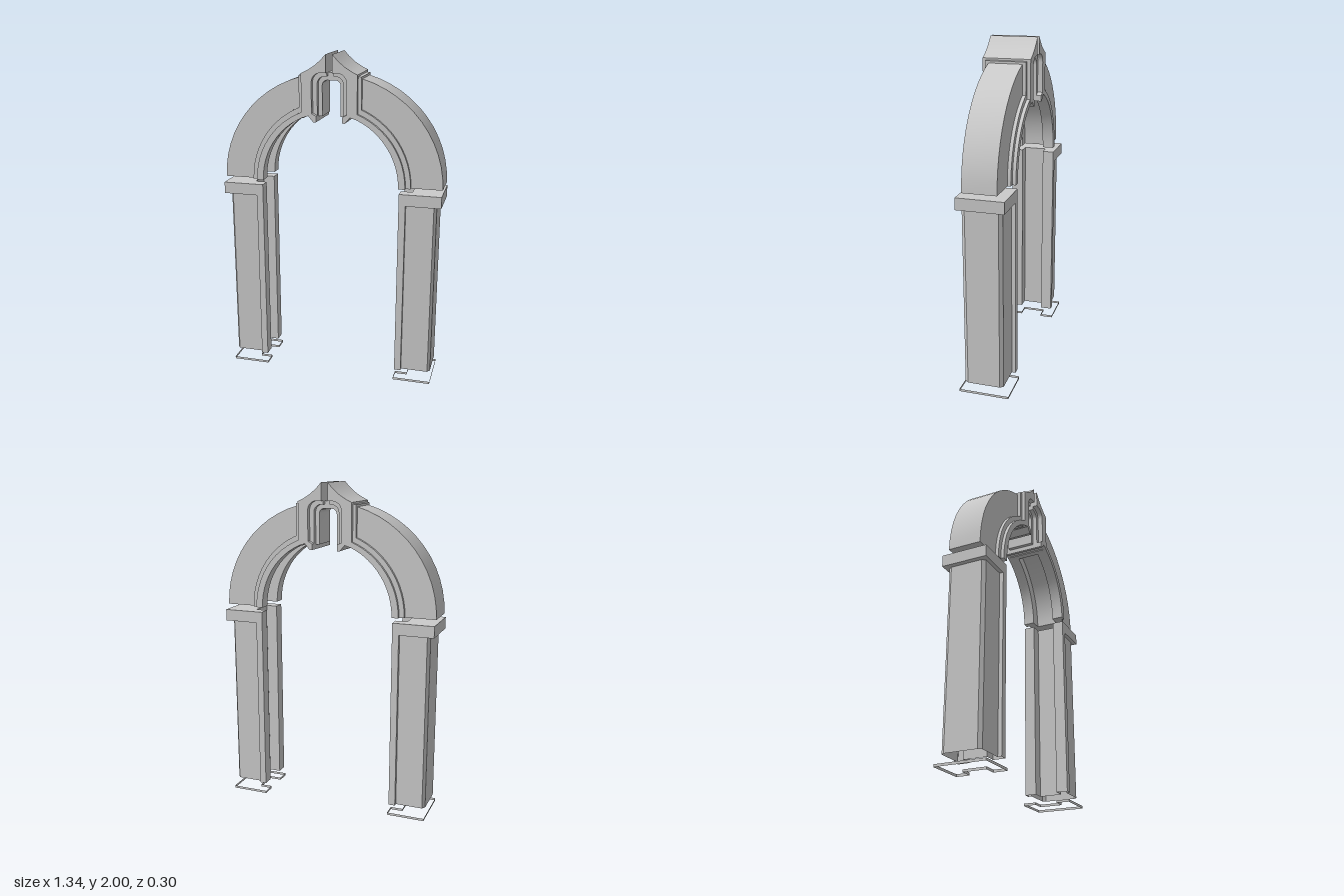
import * as THREE from 'three';
import { toCreasedNormals } from 'three/addons/utils/BufferGeometryUtils.js';

const material = new THREE.MeshStandardMaterial({ color: 0xcccccc, side: THREE.DoubleSide });
const SPRING = 1.24; // height where the arch begins

const toShape = (pts, s) => new THREE.Shape(pts.map(([x, y]) => new THREE.Vector2(x * s, y)));

function mesh(name, geometry) {
  const m = new THREE.Mesh(geometry, material);
  m.name = name;
  return m;
}

// Slab in the xy plane, reaching from z0 to z1; s = -1 mirrors it in x
function slab(name, pts, z0, z1, s) {
  const g = new THREE.ExtrudeGeometry(toShape(pts, s), { depth: z1 - z0, bevelEnabled: false });
  g.translate(0, 0, z0);
  return mesh(name, toCreasedNormals(g, 0.45));
}

// Solid with an xz footprint, reaching from y0 to y1
function upright(name, pts, y0, y1, s) {
  const g = new THREE.ExtrudeGeometry(toShape(pts, s), { depth: y1 - y0, bevelEnabled: false });
  g.rotateX(-Math.PI / 2).translate(0, y0, 0);
  return mesh(name, g);
}

// Open-ended wall following an xz footprint
function wall(name, pts, y0, y1, s) {
  const pos = [];
  pts.forEach(([ax, az], i) => {
    const [bx, bz] = pts[(i + 1) % pts.length];
    const a = [ax * s, y0, az], b = [bx * s, y0, bz];
    const c = [bx * s, y1, bz], d = [ax * s, y1, az];
    const quad = s > 0 ? [a, b, c, a, c, d] : [a, c, b, a, d, c];
    quad.forEach((p) => pos.push(...p));
  });
  const g = new THREE.BufferGeometry();
  g.setAttribute('position', new THREE.Float32BufferAttribute(pos, 3));
  g.computeVertexNormals();
  return mesh(name, g);
}

// Footprint symmetric in z from its front half (listed from inside to outside)
const symmetric = (half) => [...half, ...half.map(([x, z]) => [x, -z]).reverse()];

// Quarter-ellipse points from the springing up to x = xEnd
function curve(rx, ry, xEnd, n = 12) {
  const end = Math.acos(xEnd / rx);
  return Array.from({ length: n + 1 }, (_, i) => {
    const t = (end * i) / n;
    return [rx * Math.cos(t), SPRING + ry * Math.sin(t)];
  });
}

// Half of a round-shouldered opening, from the bottom up to x = xEnd
function niche(w, top, r, bottom, xEnd) {
  const pts = [[w, bottom]];
  for (let i = 0; i <= 6; i++) {
    const t = (i / 6) * Math.PI / 2;
    pts.push([w - r + r * Math.cos(t), top - r + r * Math.sin(t)]);
  }
  pts.push([xEnd, top]);
  return pts;
}

function buildSide(s) {
  const side = new THREE.Group();
  side.name = s > 0 ? 'leftHalf' : 'rightHalf';

  // Pillar with a channel on its inner face
  const channel = [[0.49, 0.07], [0.42, 0.07]];
  const base = symmetric([[0.49, 0.07], [0.415, 0.07], [0.415, 0.15], [0.645, 0.15]]);
  const shaft = symmetric([...channel, [0.42, 0.14], [0.46, 0.14], [0.46, 0.117], [0.625, 0.117], [0.64, 0.097]]);
  const cap = symmetric([...channel, [0.42, 0.14], [0.67, 0.14]]);
  side.add(
    wall('baseTrim', base, 0, 0.015, s),
    wall('pillarShaft', shaft, 0.065, 1.14, s),
    upright('pillarCap', cap, 1.14, 1.21, s),
  );

  // Arch: plain outer ring, then two raised mouldings either side of the soffit channel
  const ring = [...curve(0.67, 0.65, 0.185), ...curve(0.485, 0.487, 0.185).reverse()];
  side.add(slab('archRing', ring, -0.1, 0.1, s));
  const inner = curve(0.415, 0.427, 0.16).reverse();
  const middle = [...curve(0.485, 0.487, 0.16), ...inner];
  const front = [...curve(0.455, 0.457, 0.16), ...inner];
  for (const f of [1, -1]) {
    const span = (z) => (f > 0 ? [0.07, z] : [-z, -0.07]);
    side.add(slab('middleMoulding', middle, ...span(0.12), s));
    side.add(slab('innerMoulding', front, ...span(0.14), s));
  }
  side.add(slab('keystoneEdge', [[0.187, 1.69], [0.187, 1.877], [0.155, 1.88], [0.155, 1.63], [0.187, 1.625]], -0.12, 0.12, s));

  // Flared keystone half with a downturned beak
  const flare = [[0.02, 2], [0.05, 1.967], [0.09, 1.933], [0.13, 1.908], [0.167, 1.89]];
  const opening = niche(0.105, 1.895, 0.055, 1.66, 0.02);
  const keystone = [...flare, [0.167, 1.632], [0.125, 1.645], [0.095, 1.61], [0.078, 1.61], [0.078, 1.645], ...opening];
  side.add(slab('keystone', keystone, -0.142, 0.142, s));

  // Stepped lining of the keystone opening; the innermost step meets its mirror
  const step = niche(0.078, 1.873, 0.045, 1.63, 0.02);
  side.add(slab('openingStep', [...step, ...niche(0.107, 1.897, 0.055, 1.63, 0.02).reverse()], -0.112, 0.112, s));
  const lining = niche(0.055, 1.848, 0.03, 1.638, 0);
  side.add(slab('openingLining', [...lining, ...niche(0.08, 1.893, 0.045, 1.638, 0).reverse()], -0.085, 0.085, s));
  return side;
}

export function createModel() {
  const model = new THREE.Group();
  model.name = 'archway';
  model.add(buildSide(1), buildSide(-1));
  return model;
}
